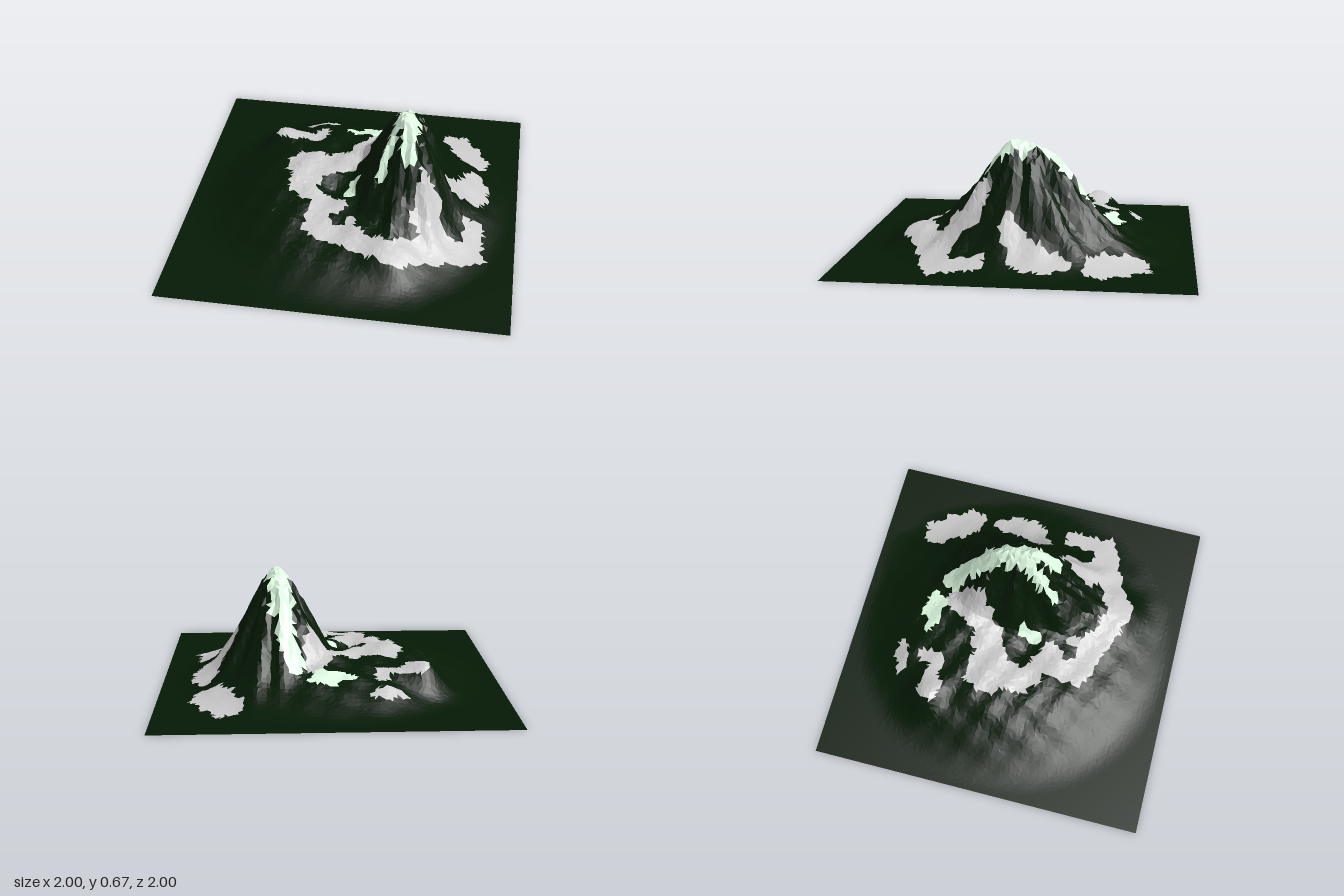
import * as THREE from 'three';

const CELLS = 80;

// Covers drawn as strokes on the ground plan: points of x, z, radius
const ROCK = [
  // winding ledge: west half, front half, spurs
  [[0.1, -0.42, 0.06], [0.06, -0.29, 0.08], [-0.06, -0.15, 0.08], [-0.3, -0.1, 0.13], [-0.31, 0.12, 0.07], [-0.05, 0.26, 0.05]],
  [[-0.17, 0.29, 0.06], [-0.16, 0.43, 0.08], [0.08, 0.53, 0.06], [0.3, 0.6, 0.08], [0.55, 0.48, 0.08], [0.74, 0.42, 0.08], [0.75, 0.2, 0.06]],
  [[0.03, 0.38, 0.04], [0.07, 0.5, 0.05]],
  [[0.48, 0.21, 0.05], [0.49, 0.36, 0.1]],
  // eastern slope
  [[0.73, -0.24, 0.07], [0.73, -0.08, 0.1], [0.61, 0.02, 0.06]],
  // separate outcrops
  [[0.59, -0.67, 0.09], [0.7, -0.48, 0.1]],
  [[-0.5, -0.42, 0.06], [-0.29, -0.43, 0.05], [-0.28, -0.52, 0.04]],
  [[-0.38, -0.64, 0.03], [-0.26, -0.65, 0.04]],
];
const SNOW = [
  // summit ridge and its forward arm
  [[0.22, -0.45, 0.06], [0.29, -0.25, 0.06], [0.3, -0.05, 0.075], [0.35, 0.18, 0.04]],
  [[0.25, 0.04, 0.04], [0.19, 0.17, 0.03]],
  // lower patches
  [[-0.06, -0.52, 0.05], [0.08, -0.53, 0.06]],
  [[0, 0.07, 0.035], [-0.01, 0.15, 0.035]],
];

// Repeatable value in -0.5..0.5 for a grid point
function hash(i, j) {
  const s = Math.sin(i * 127.1 + j * 311.7) * 43758.5453;
  return s - Math.floor(s) - 0.5;
}

// True where a point lies on a stroke whose edge wavers a little
function onStroke(stroke, x, z) {
  const waver = 0.011 * (Math.sin(x * 53 + z * 19) + Math.sin(z * 61 - x * 23));
  return stroke.slice(1).some(([x1, z1, r1], k) => {
    const [x0, z0, r0] = stroke[k];
    const dx = x1 - x0, dz = z1 - z0;
    const t = THREE.MathUtils.clamp(((x - x0) * dx + (z - z0) * dz) / (dx * dx + dz * dz), 0, 1);
    return Math.hypot(x - x0 - dx * t, z - z0 - dz * t) < r0 + (r1 - r0) * t + waver;
  });
}

const bump = (x, z, cx, cz, r) => Math.exp(-((x - cx) ** 2 + (z - cz) ** 2) / (r * r));

function height(x, z) {
  // broad foothills
  const hills = 0.178 * (1 - THREE.MathUtils.smoothstep(Math.hypot(x, z), 0.41, 1));
  // steep mountain, longer front to back, with gullies down its flanks
  const dx = x - 0.315, dz = (z + 0.035) / 1.55;
  const d = Math.hypot(dx, dz), angle = Math.atan2(dz, dx);
  const gully = 0.01 * Math.sin(angle * 9 + d * 8) + 0.007 * Math.sin(angle * 17 + 1);
  const fall = Math.max(0, d + gully * Math.min(1, d / 0.1)) / 0.28;
  const peak = Math.max(0, 0.67 * Math.exp(-(fall ** 1.85)) - 0.01);
  let h = (hills + peak + Math.hypot(hills - peak, 0.02) - 0.02) / 2;
  h += 0.11 * bump(x, z, -0.53, -0.43, 0.11);  // western knoll
  h += 0.025 * bump(x, z, -0.3, -0.63, 0.12);  // rear knoll
  h += 0.06 * bump(x, z, 0.3, 0.63, 0.13);     // front shoulder
  h += 0.04 * bump(x, z, 0.47, 0.22, 0.09);    // front spur
  h += 0.05 * bump(x, z, 0.04, -0.26, 0.13);   // rear spur
  h += 0.03 * bump(x, z, 0.28, -0.26, 0.1);    // rear ridge
  h += 0.025 * bump(x, z, -0.33, -0.06, 0.2);  // western ledge
  h -= 0.035 * bump(x, z, -0.08, 0.46, 0.17);  // front terrace
  h -= 0.045 * bump(x, z, -0.12, 0.1, 0.1);    // hollow
  h += 0.06 * bump(x, z, 0.32, 0.08, 0.07);    // summit
  const rough = 0.006 * (Math.sin(x * 31 + z * 13) + Math.sin(z * 37 - x * 17));
  h += rough * Math.min(1, h * 5);
  const edge = Math.min(1, (1 - Math.max(Math.abs(x), Math.abs(z))) * 12);
  return Math.max(0, h) * edge;
}

export function createModel() {
  const group = new THREE.Group();
  group.name = 'mountainTerrain';

  // Slightly irregular grid of ground points
  const points = [];
  for (let j = 0; j <= CELLS; j++) {
    for (let i = 0; i <= CELLS; i++) {
      const free = i > 0 && j > 0 && i < CELLS && j < CELLS ? 0.5 : 0;
      const x = (i + hash(i, j) * free) * 2 / CELLS - 1;
      const z = (j + hash(j + 90, i) * free) * 2 / CELLS - 1;
      const h = height(x, z);
      points.push([x, h + hash(i + 7, j + 3) * 0.04 * h * free, z]);
    }
  }

  // Sort each triangle into the cover that its centre lies on
  const covers = { forest: [], rock: [], snow: [] };
  const addFace = (...corners) => {
    const [a, b, c] = corners.map((k) => points[k]);
    const x = (a[0] + b[0] + c[0]) / 3, z = (a[2] + b[2] + c[2]) / 3;
    const on = (strokes) => strokes.some((s) => onStroke(s, x, z));
    covers[on(SNOW) ? 'snow' : on(ROCK) ? 'rock' : 'forest'].push(...a, ...b, ...c);
  };
  for (let j = 0; j < CELLS; j++) {
    for (let i = 0; i < CELLS; i++) {
      const a = j * (CELLS + 1) + i, b = a + 1, c = a + CELLS + 1, d = c + 1;
      if (hash(i, j + 50) > 0) {
        addFace(a, c, b);
        addFace(b, c, d);
      } else {
        addFace(a, c, d);
        addFace(a, d, b);
      }
    }
  }

  const colors = { forest: 0x051905, rock: 0xcccccc, snow: 0xe0fde4 };
  for (const [name, positions] of Object.entries(covers)) {
    const geometry = new THREE.BufferGeometry();
    geometry.setAttribute('position', new THREE.Float32BufferAttribute(positions, 3));
    geometry.computeVertexNormals();
    const mesh = new THREE.Mesh(geometry, new THREE.MeshStandardMaterial({
      color: colors[name], flatShading: true, side: THREE.DoubleSide,
    }));
    mesh.name = name;
    group.add(mesh);
  }
  return group;
}
